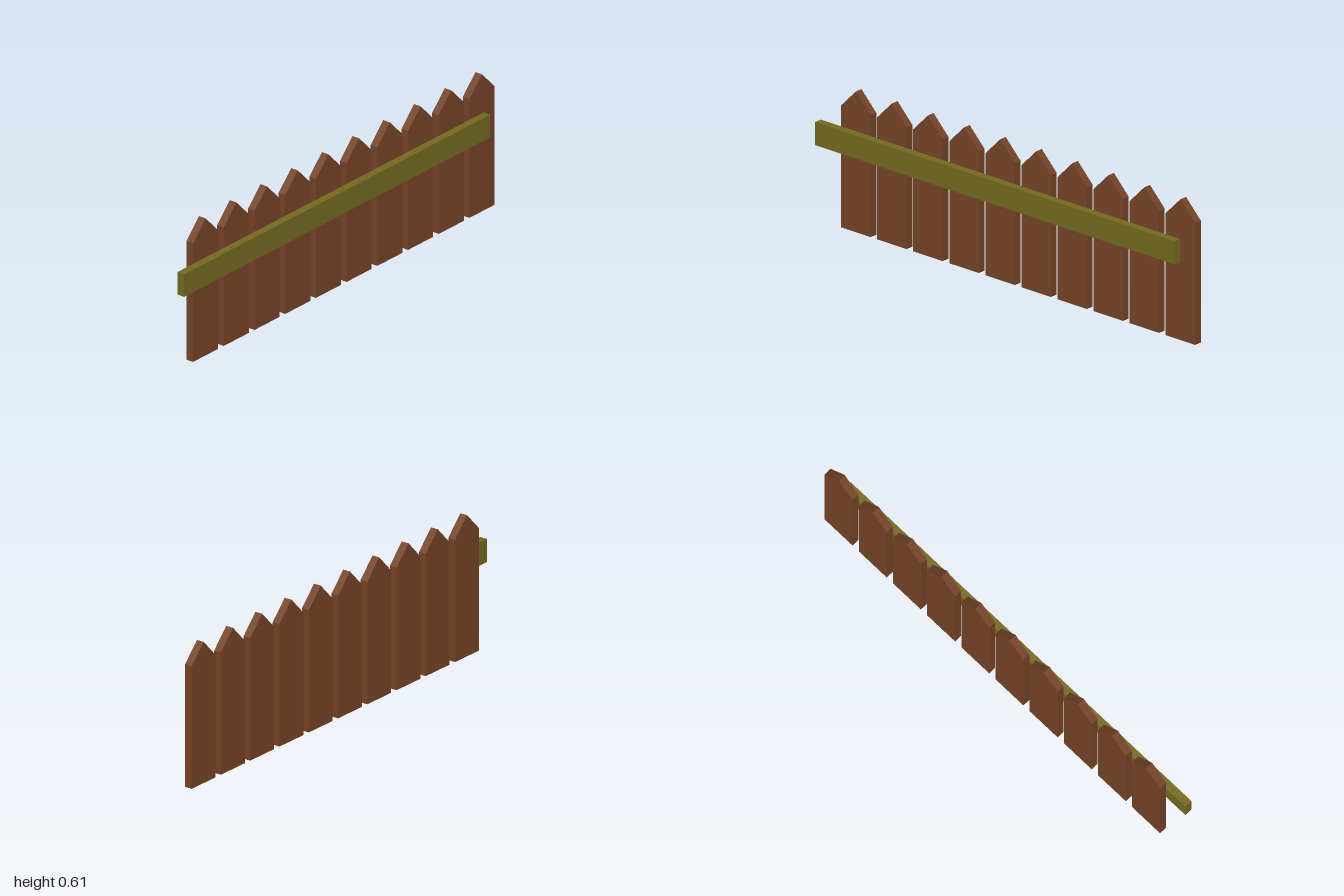
import * as THREE from 'three';

const PICKETS = 10, PITCH = 0.1931, WIDTH = 0.158, DEPTH = 0.034;
const SHOULDER = 0.527, PEAK = 0.608;

export function createModel() {
  const fence = new THREE.Group();
  fence.name = 'fence';
  const brown = new THREE.MeshStandardMaterial({ color: 0x744226, flatShading: true });
  const olive = new THREE.MeshStandardMaterial({ color: 0x736820, flatShading: true });

  // Pointed picket outline, extruded to board thickness
  const w = WIDTH / 2;
  const outline = new THREE.Shape([
    new THREE.Vector2(-w, 0),
    new THREE.Vector2(w, 0),
    new THREE.Vector2(w, SHOULDER),
    new THREE.Vector2(0, PEAK),
    new THREE.Vector2(-w, SHOULDER),
  ]);
  const picketGeometry = new THREE.ExtrudeGeometry(outline, { depth: DEPTH, bevelEnabled: false });

  // Row of pickets, ending flush at x = 1
  for (let i = 0; i < PICKETS; i++) {
    const picket = new THREE.Mesh(picketGeometry, brown);
    picket.name = `picket${i + 1}`;
    picket.position.set(1 - w - (PICKETS - 1 - i) * PITCH, 0, -0.036);
    fence.add(picket);
  }

  // Horizontal rail in front, overhanging the right end
  const rail = new THREE.Mesh(new THREE.BoxGeometry(1.925, 0.1, DEPTH), olive);
  rail.name = 'rail';
  rail.position.set(-0.0375, 0.389, 0.02);
  fence.add(rail);

  return fence;
}
